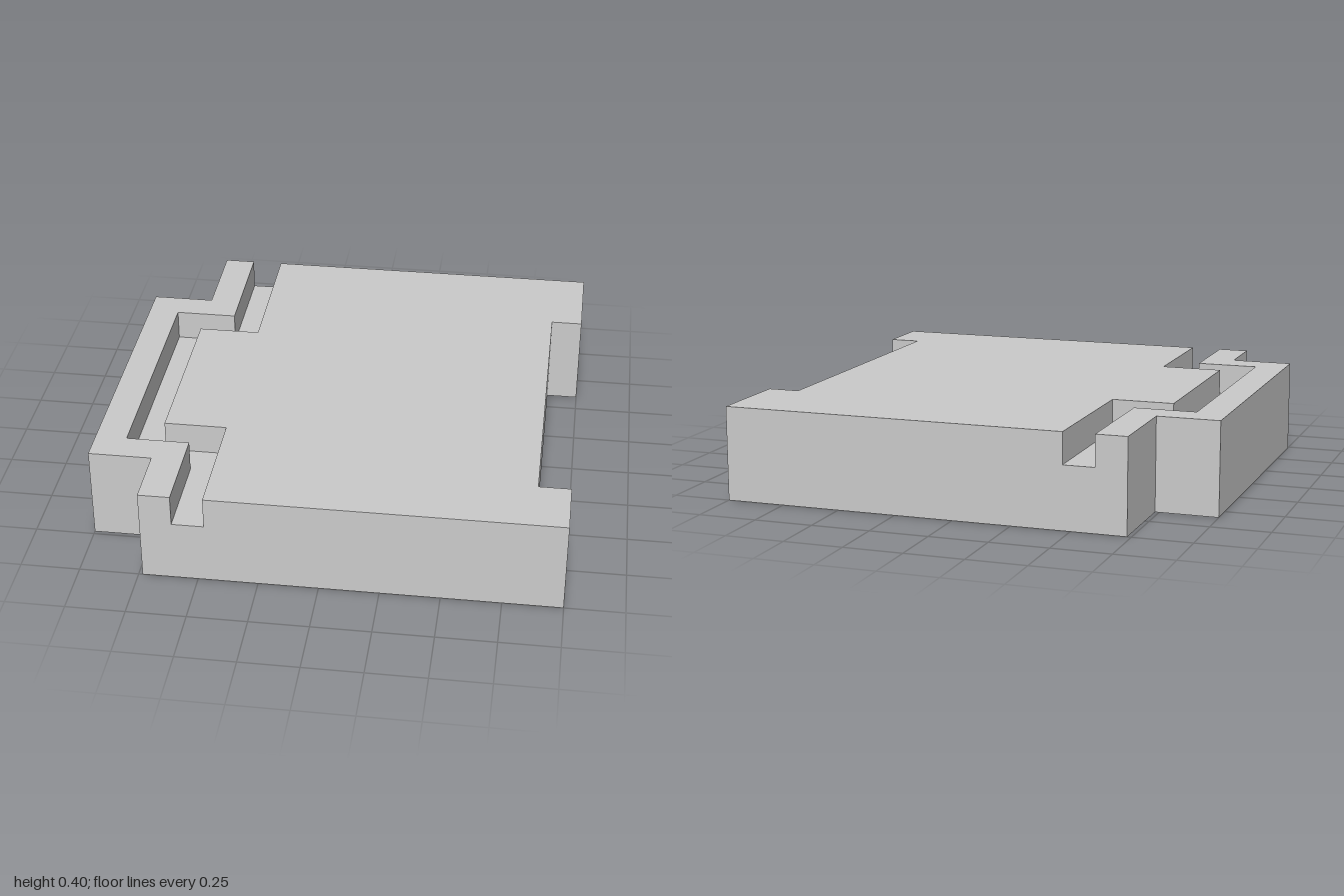
import * as THREE from 'three';

const HEIGHT = 0.4;
const FLOOR = 0.267; // height of the channel floor

// Plan outlines as [x, z], running from back to front
const leftEdge = [[-0.733, -1], [-0.733, -0.6], [-1, -0.6], [-1, 0.733], [-0.733, 0.733], [-0.733, 1]];
const channelOuter = [[-0.6, -1], [-0.6, -0.467], [-0.867, -0.467], [-0.867, 0.6], [-0.6, 0.6], [-0.6, 1]];
const channelInner = [[-0.467, -1], [-0.467, -0.333], [-0.733, -0.333], [-0.733, 0.467], [-0.467, 0.467], [-0.467, 1]];
const rightEdge = [[1, -1], [1, -0.6], [0.865, -0.6], [0.865, 0.733], [1, 0.733], [1, 1]];

// Upright slab between two plan outlines
function slab(name, left, right, bottom, top, material) {
  const outline = [...left, ...[...right].reverse()];
  const shape = new THREE.Shape(outline.map(([x, z]) => new THREE.Vector2(x, -z)));
  const geometry = new THREE.ExtrudeGeometry(shape, { depth: top - bottom, bevelEnabled: false });
  geometry.rotateX(-Math.PI / 2).translate(0, bottom, 0);
  const mesh = new THREE.Mesh(geometry, material);
  mesh.name = name;
  return mesh;
}

export function createModel() {
  const group = new THREE.Group();
  group.name = 'channelledTile';
  const material = new THREE.MeshStandardMaterial({ color: 0xcccccc, flatShading: true });
  group.add(
    // Full footprint with a tab on one side and a socket on the other
    slab('base', leftEdge, rightEdge, 0, FLOOR, material),
    // Raised parts on either side of the stepped channel
    slab('outerRim', leftEdge, channelOuter, FLOOR, HEIGHT, material),
    slab('platform', channelInner, rightEdge, FLOOR, HEIGHT, material),
  );
  return group;
}
